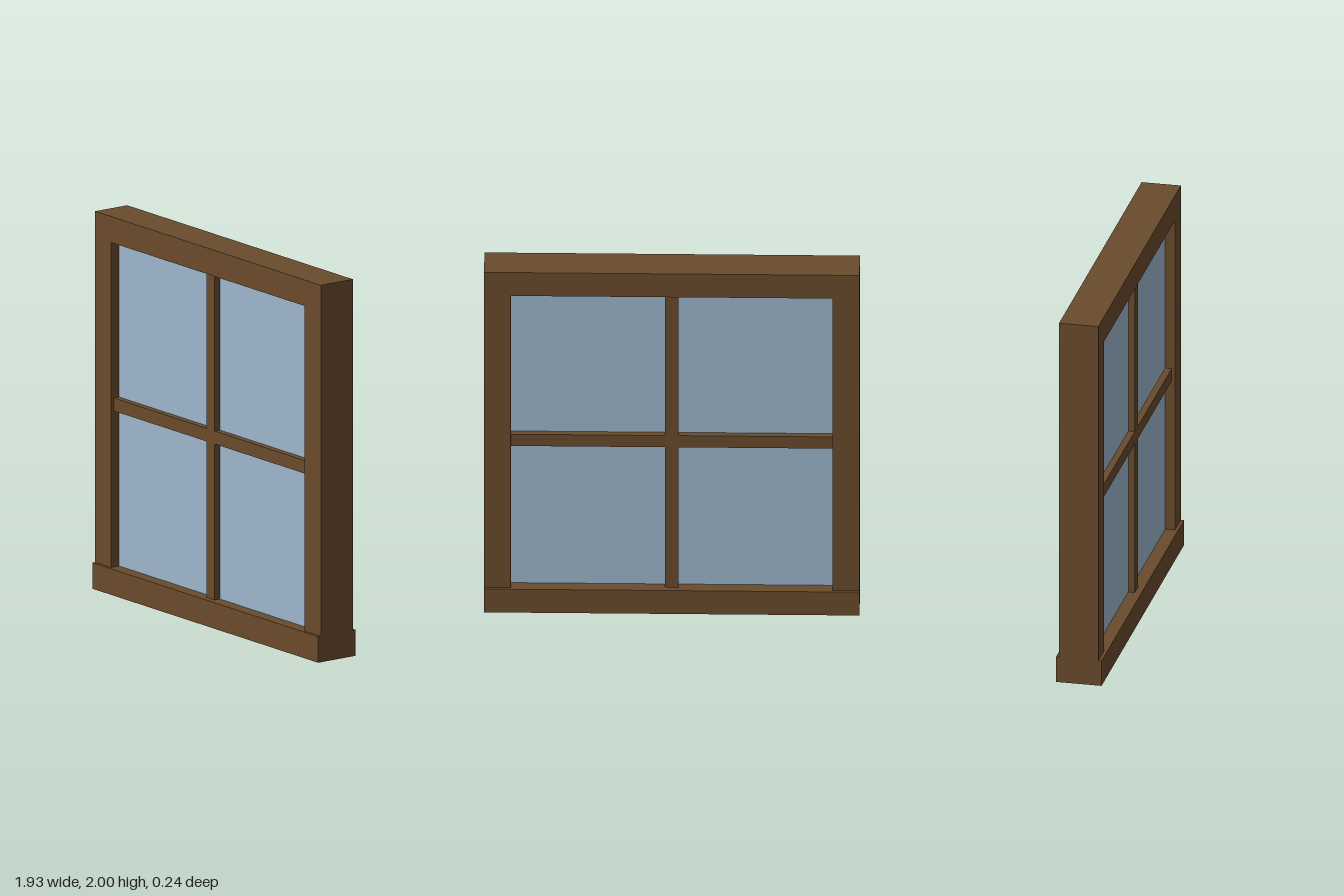
import * as THREE from 'three';

const W = 1.931, H = 2;          // overall width and height
const RAIL = 0.138;              // width of frame members
const BAR = 0.069;               // width of glazing bars
const FRAME_DEPTH = 0.207, SILL_DEPTH = 0.241, BAR_DEPTH = 0.172, GLASS_DEPTH = 0.103;

export function createModel() {
  const wood = new THREE.MeshStandardMaterial({ color: 0x6a4b2c });
  wood.name = 'brown wood';
  const glass = new THREE.MeshStandardMaterial({ color: 0x9db7cd });
  glass.name = 'blue glass';

  const model = new THREE.Group();
  model.name = 'window';

  const add = (name, geometry, material, x = 0, y = 0, z = 0) => {
    const mesh = new THREE.Mesh(geometry, material);
    mesh.name = name;
    mesh.position.set(x, y, z);
    model.add(mesh);
  };

  // Flat outline extruded evenly about z = 0
  const slab = (points, depth) => {
    const shape = new THREE.Shape(points.map(([x, y]) => new THREE.Vector2(x, y)));
    return new THREE.ExtrudeGeometry(shape, { depth, bevelEnabled: false }).translate(0, 0, -depth / 2);
  };

  const outer = W / 2, inner = outer - RAIL, top = H - RAIL, mid = H / 2, b = BAR / 2;

  // Stiles and head in one piece, standing on the sill
  add('frame', slab([
    [-outer, RAIL], [-inner, RAIL], [-inner, top], [inner, top],
    [inner, RAIL], [outer, RAIL], [outer, H], [-outer, H],
  ], FRAME_DEPTH), wood);

  // Deeper sill along the bottom
  add('sill', new THREE.BoxGeometry(W, RAIL, SILL_DEPTH), wood, 0, RAIL / 2);

  // Cross of glazing bars
  add('glazingBars', slab([
    [-b, RAIL], [b, RAIL], [b, mid - b], [inner, mid - b], [inner, mid + b], [b, mid + b],
    [b, top], [-b, top], [-b, mid + b], [-inner, mid + b], [-inner, mid - b], [-b, mid - b],
  ], BAR_DEPTH), wood);

  // Four panes
  const paneW = inner - b, paneH = top - mid - b;
  const pane = new THREE.BoxGeometry(paneW, paneH, GLASS_DEPTH);
  for (const sx of [-1, 1]) {
    for (const sy of [-1, 1]) {
      const name = (sy > 0 ? 'upper' : 'lower') + (sx > 0 ? 'Left' : 'Right') + 'Pane';
      add(name, pane, glass, sx * (b + paneW / 2), mid + sy * (b + paneH / 2));
    }
  }

  return model;
}
